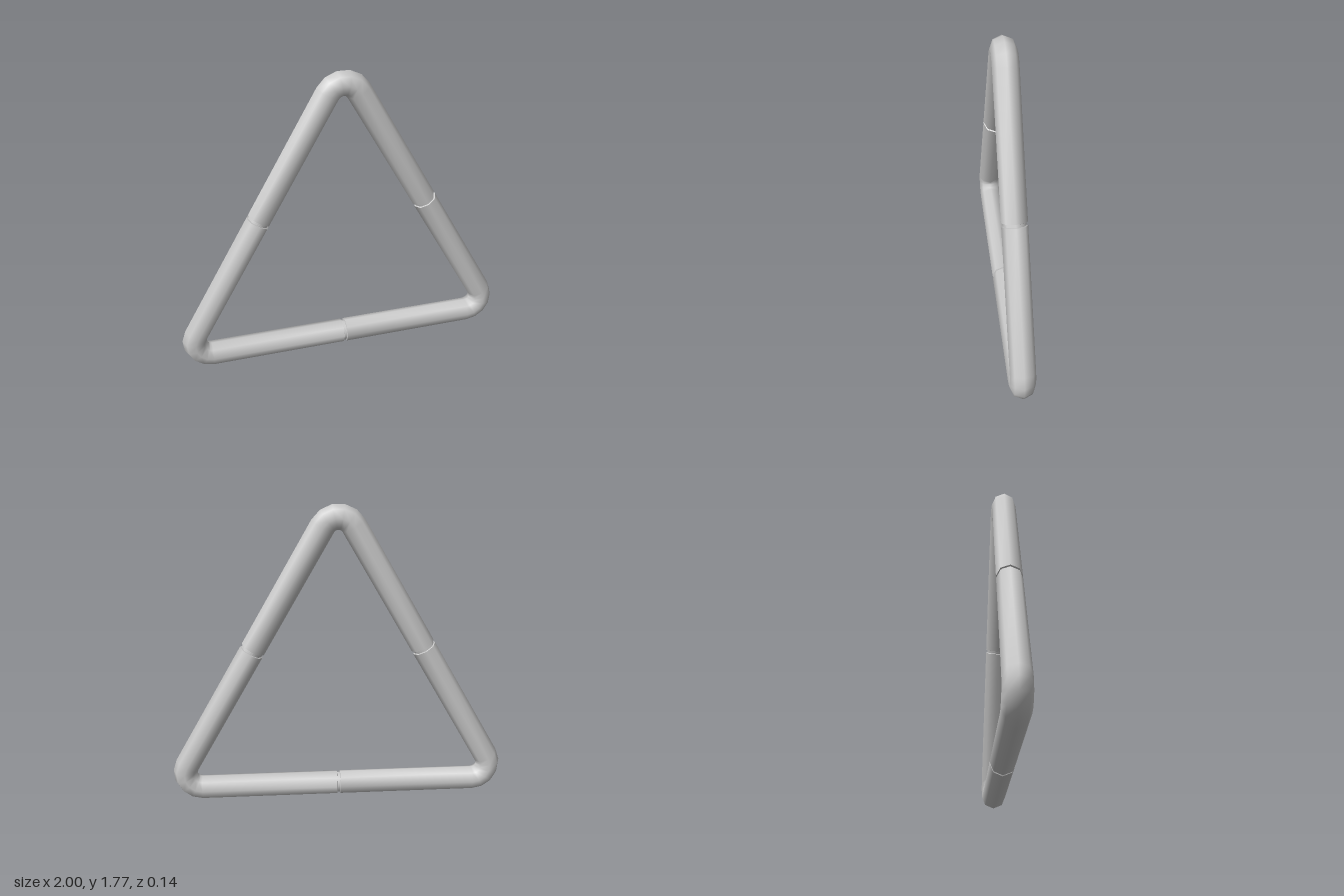
import * as THREE from 'three';
import { toCreasedNormals } from 'three/addons/utils/BufferGeometryUtils.js';

const TUBE = 0.0725;      // rod radius
const BEND = 0.1005;      // centreline radius of each corner bend
const HALF = 0.827;       // straight run from a bend to the middle of a side
const SIDES = 8, BEND_STEPS = 5;
const BEND_DIST = HALF * 2 / Math.sqrt(3);   // triangle centre to bend centre

// One bent rod around the upper corner, with a stepped neck at each end
function cornerRodGeometry() {
  const rings = [];
  const addRing = (angle, along, radius) => {
    const s = Math.sin(angle), c = Math.cos(angle);
    rings.push({ x: BEND * s + along * c, y: BEND_DIST + BEND * c - along * s, s, c, radius });
  };
  const end = Math.PI / 3;
  // distance along the straight run, radius
  const neck = [[HALF, 0.064], [HALF - 0.008, 0.064], [HALF - 0.01, TUBE]];

  neck.forEach(([d, r]) => addRing(-end, -d, r));
  for (let i = 0; i <= BEND_STEPS; i++) addRing(-end + 2 * end * i / BEND_STEPS, 0, TUBE);
  [...neck].reverse().forEach(([d, r]) => addRing(end, d, r));

  const positions = [], index = [];
  rings.forEach((ring, i) => {
    for (let j = 0; j < SIDES; j++) {
      const t = j / SIDES * Math.PI * 2;
      const u = ring.radius * Math.cos(t);
      positions.push(ring.x + u * ring.s, ring.y + u * ring.c, ring.radius * Math.sin(t));
      if (i === rings.length - 1) continue;
      const k = (j + 1) % SIDES;
      const a = i * SIDES + j, b = i * SIDES + k;
      index.push(a, b, b + SIDES, a, b + SIDES, a + SIDES);
    }
  });
  const geometry = new THREE.BufferGeometry();
  geometry.setAttribute('position', new THREE.Float32BufferAttribute(positions, 3));
  geometry.setIndex(index);
  return toCreasedNormals(geometry, 1.0);
}

export function createModel() {
  const model = new THREE.Group();
  model.name = 'triangleFrame';
  const material = new THREE.MeshStandardMaterial({ color: 0xcccccc, side: THREE.DoubleSide });
  const geometry = cornerRodGeometry();

  // Three identical rods meet at the middle of each side
  ['topCornerRod', 'rightCornerRod', 'leftCornerRod'].forEach((name, i) => {
    const rod = new THREE.Mesh(geometry, material);
    rod.name = name;
    rod.rotation.z = i * Math.PI * 2 / 3;
    rod.position.y = BEND_DIST / 2 + BEND + TUBE;
    model.add(rod);
  });
  return model;
}
